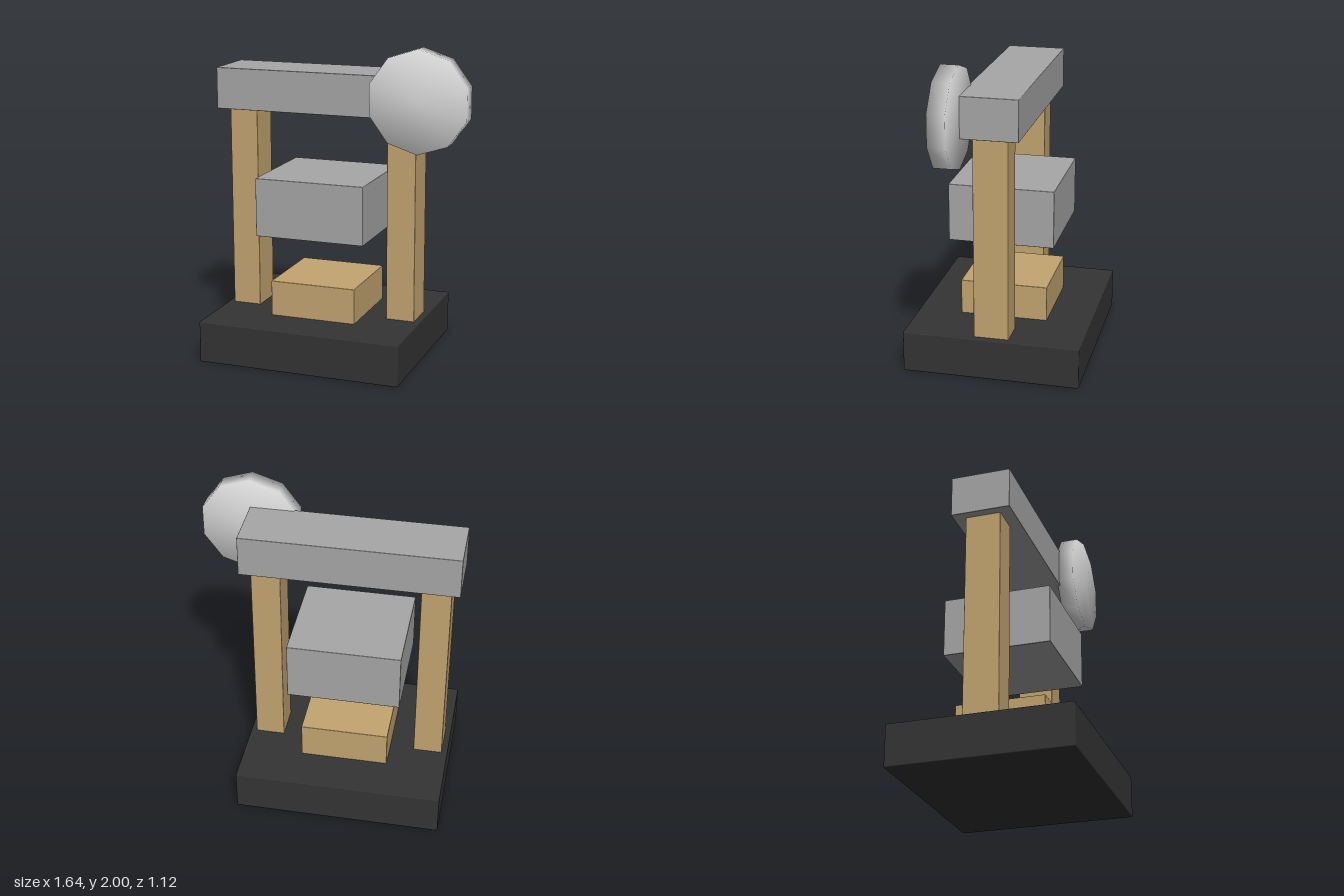
import * as THREE from 'three';
import { mergeVertices } from 'three/addons/utils/BufferGeometryUtils.js';
import { RoundedBoxGeometry } from 'three/addons/geometries/RoundedBoxGeometry.js';

function material(name, color) {
  const m = new THREE.MeshStandardMaterial({ color });
  m.name = name;
  return m;
}

export function createModel() {
  const model = new THREE.Group();
  model.name = 'press';
  const darkIron = material('darkIron', 0x343434);
  const wood = material('wood', 0xc4a570);
  const steel = material('steel', 0xa7a7a7);
  const silver = material('silver', 0xdadada);

  // Block given by its extents, with very slightly eased edges
  function block(name, mat, [x0, x1], [y0, y1], depth, bevel = 0.004) {
    const geometry = new RoundedBoxGeometry(x1 - x0, y1 - y0, depth, 1, bevel);
    const mesh = new THREE.Mesh(geometry, mat);
    mesh.name = name;
    mesh.position.set((x0 + x1) / 2, (y0 + y1) / 2, 0);
    model.add(mesh);
  }

  block('base', darkIron, [-0.805, 0.5], [0, 0.265], 1.12, 0.008);
  block('lowerBlock', wood, [-0.43, 0.125], [0.26, 0.49], 0.56);
  block('pressBlock', steel, [-0.505, 0.2], [0.79, 1.16], 0.67);
  block('topBeam', steel, [-0.823, 0.52], [1.555, 1.815], 0.37);

  // Two upright posts
  for (const [name, x] of [['rightPost', -0.675], ['leftPost', 0.37]]) {
    block(name, wood, [x - 0.092, x + 0.092], [0.26, 1.56], 0.22);
  }

  // Ten-sided wheel with normals shared between rim and faces
  let wheelGeometry = new THREE.CylinderGeometry(0.316, 0.316, 0.11, 10);
  wheelGeometry.deleteAttribute('normal');
  wheelGeometry.deleteAttribute('uv');
  wheelGeometry = mergeVertices(wheelGeometry);
  wheelGeometry.rotateX(Math.PI / 2);
  wheelGeometry.computeVertexNormals();
  const wheel = new THREE.Mesh(wheelGeometry, silver);
  wheel.name = 'wheel';
  wheel.position.set(0.52, 1.684, 0.225);
  model.add(wheel);

  return model;
}
